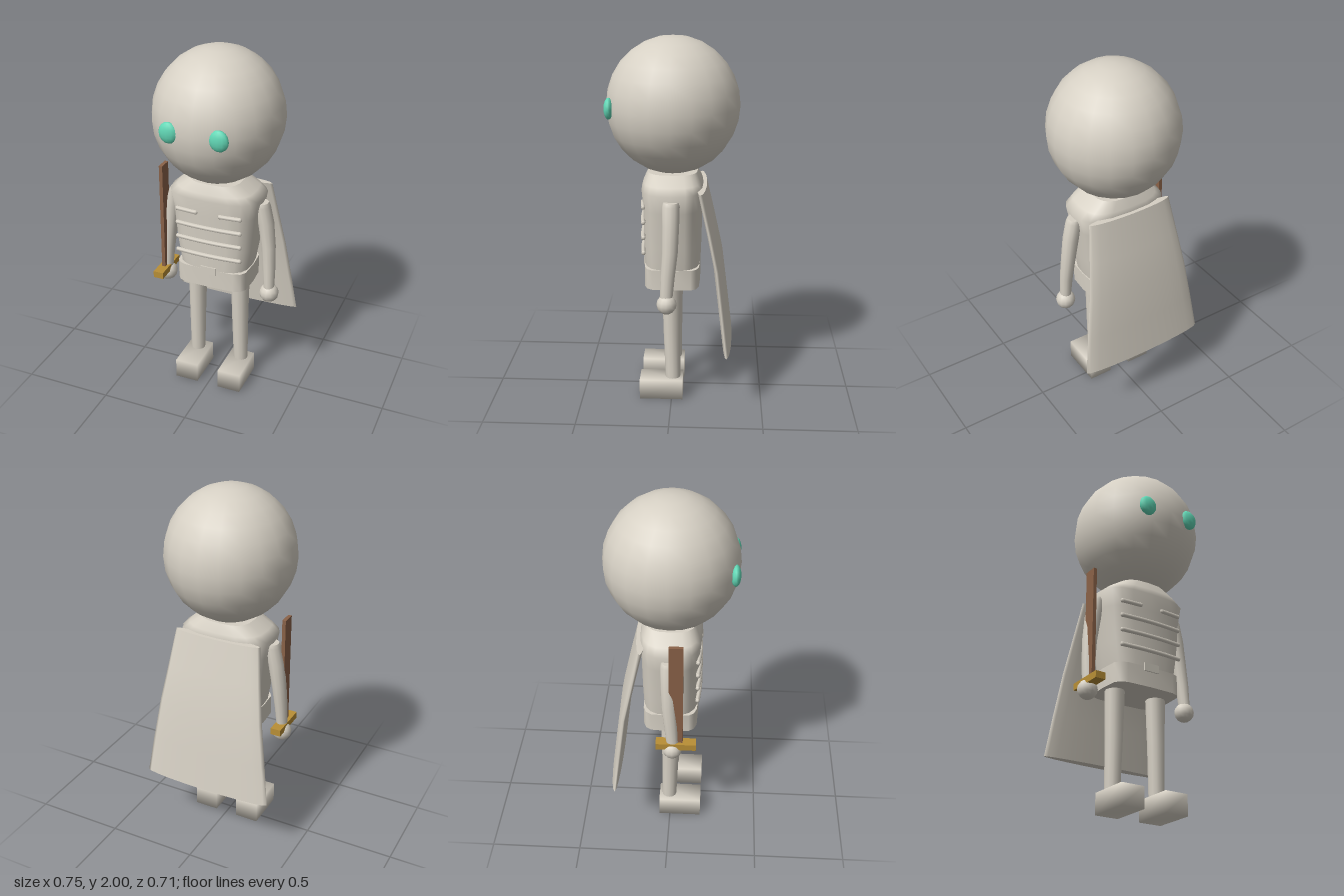
import * as THREE from 'three';
import { mergeVertices } from 'three/addons/utils/BufferGeometryUtils.js';

const mat = (name, color) => Object.assign(new THREE.MeshStandardMaterial({ color }), { name });

// Skin a closed stack of rings, listed from bottom to top; ring(row, t) gives a point.
function loft(rows, n, ring) {
  const pos = [], idx = [];
  const last = rows.length - 1;
  const addRing = (row) => {
    const start = pos.length / 3;
    for (let j = 0; j < n; j++) pos.push(...ring(row, (j / n) * Math.PI * 2));
    return start;
  };
  rows.forEach(addRing);
  for (let i = 0; i < last; i++) {
    for (let j = 0; j < n; j++) {
      const a = i * n + j, b = i * n + ((j + 1) % n);
      idx.push(a, a + n, b + n, a, b + n, b);
    }
  }
  // separate cap vertices keep the rims sharp
  const bottom = addRing(rows[0]), top = addRing(rows[last]);
  for (let j = 1; j < n - 1; j++) {
    idx.push(bottom, bottom + j, bottom + j + 1);
    idx.push(top, top + j + 1, top + j);
  }
  const g = new THREE.BufferGeometry();
  g.setAttribute('position', new THREE.Float32BufferAttribute(pos, 3));
  g.setIndex(idx);
  g.computeVertexNormals();
  return g;
}

// Superellipse ring; row = [y, halfWidth, halfDepth, centreX, centreZ]
const power = (v, e) => Math.sign(v) * Math.pow(Math.abs(v), 2 / e);
const squircle = (e) => ([y, w, d, cx = 0, cz = 0], t) =>
  [cx + w * power(Math.cos(t), e), y, cz + d * power(Math.sin(t), e)];

// Box whose normals run smoothly over the corners
function softBox(w, h, d) {
  const g = new THREE.BoxGeometry(w, h, d);
  g.deleteAttribute('normal');
  g.deleteAttribute('uv');
  const m = mergeVertices(g);
  m.computeVertexNormals();
  return m;
}

export function createModel() {
  const model = new THREE.Group();
  model.name = 'caped figure';
  const bone = mat('bone', 0xd6d0c4);
  const teal = mat('teal', 0x62d8b6);
  const wood = mat('brown blade', 0x8a6248);
  const gold = mat('gold', 0xb98f36);

  const add = (name, geometry, material, x = 0, y = 0, z = 0) => {
    const m = new THREE.Mesh(geometry, material);
    m.name = name;
    m.position.set(x, y, z);
    model.add(m);
    return m;
  };

  // Head
  add('head', new THREE.SphereGeometry(1, 20, 14), bone, 0, 1.635, 0).scale.set(0.35, 0.365, 0.356);

  // Torso and pelvis
  add('torso', loft([
    [0.76, 0.2, 0.152], [0.9, 0.224, 0.157], [1.1, 0.243, 0.16],
    [1.2, 0.262, 0.168], [1.235, 0.22, 0.158], [1.285, 0.145, 0.135],
  ], 20, squircle(3)), bone);
  add('pelvis', loft([[0.66, 0.207, 0.152], [0.772, 0.207, 0.152]], 16, squircle(5)), bone);
  add('buckle', new THREE.BoxGeometry(0.09, 0.045, 0.02), bone, 0, 0.768, 0.148);

  // Ribs: three full bars and one pair of short ones
  const rib = (x0, x1, y) => {
    const z = (x) => 0.16 - 0.3 * x * x;
    const points = [0, 0.25, 0.5, 0.75, 1].map((k) => {
      const x = x0 + (x1 - x0) * k;
      return new THREE.Vector3(x, y, z(x));
    });
    const curve = new THREE.CatmullRomCurve3(points);
    add('rib', new THREE.TubeGeometry(curve, 8, 0.013, 6), bone);
    for (const x of [x0, x1]) add('ribEnd', new THREE.SphereGeometry(0.013, 6, 4), bone, x, y, z(x));
  };
  for (const y of [0.865, 0.95, 1.035]) rib(-0.18, 0.18, y);
  rib(-0.18, -0.07, 1.12);
  rib(0.07, 0.18, 1.12);

  for (const [side, s] of [['left', 1], ['right', -1]]) {
    // Face
    add(side + 'Eye', new THREE.SphereGeometry(1, 12, 8), teal, s * 0.135, 1.637, 0.328)
      .scale.set(0.053, 0.057, 0.026);

    // Arm, slightly bent, and round hand
    add(side + 'Arm', loft([
      [0.66, 0.03, 0.034, s * 0.308, 0.022], [0.78, 0.035, 0.038, s * 0.303, 0.014],
      [0.91, 0.039, 0.042, s * 0.293, 0.003], [1.05, 0.044, 0.045, s * 0.274, 0],
      [1.15, 0.043, 0.047, s * 0.252, 0], [1.17, 0.036, 0.04, s * 0.248, 0],
    ], 12, squircle(2)), bone);
    add(side + 'Hand', new THREE.SphereGeometry(0.054, 12, 8), bone, s * 0.309, 0.623, 0.02);

    // Leg and foot
    add(side + 'Leg', loft([
      [0.1, 0.041, 0.041, s * 0.136, -0.006], [0.4, 0.047, 0.047, s * 0.132, 0],
      [0.69, 0.054, 0.054, s * 0.129, 0],
    ], 12, squircle(2)), bone);
    add(side + 'Foot', softBox(0.135, 0.115, 0.24), bone, s * 0.132, 0.0575, 0.058);
  }

  // Cape: a lens-shaped sheet, row = [y, halfWidth, edgeZ]
  add('cape', loft([
    [0.34, 0.374, -0.3], [0.56, 0.345, -0.273], [0.8, 0.31, -0.243],
    [1.0, 0.28, -0.2], [1.21, 0.25, -0.152],
  ], 20, ([y, w, z], t) => {
    const k = Math.sin(t);
    return [w * Math.cos(t), y, z + k * (k > 0 ? 0.022 : 0.033)];
  }), bone);

  // Sword held upright in the right hand
  add('swordBlade', new THREE.BoxGeometry(0.02, 0.64, 0.075), wood, -0.31, 0.99, 0.04);
  add('swordGuard', new THREE.BoxGeometry(0.058, 0.038, 0.22), gold, -0.31, 0.66, 0.04);

  return model;
}
